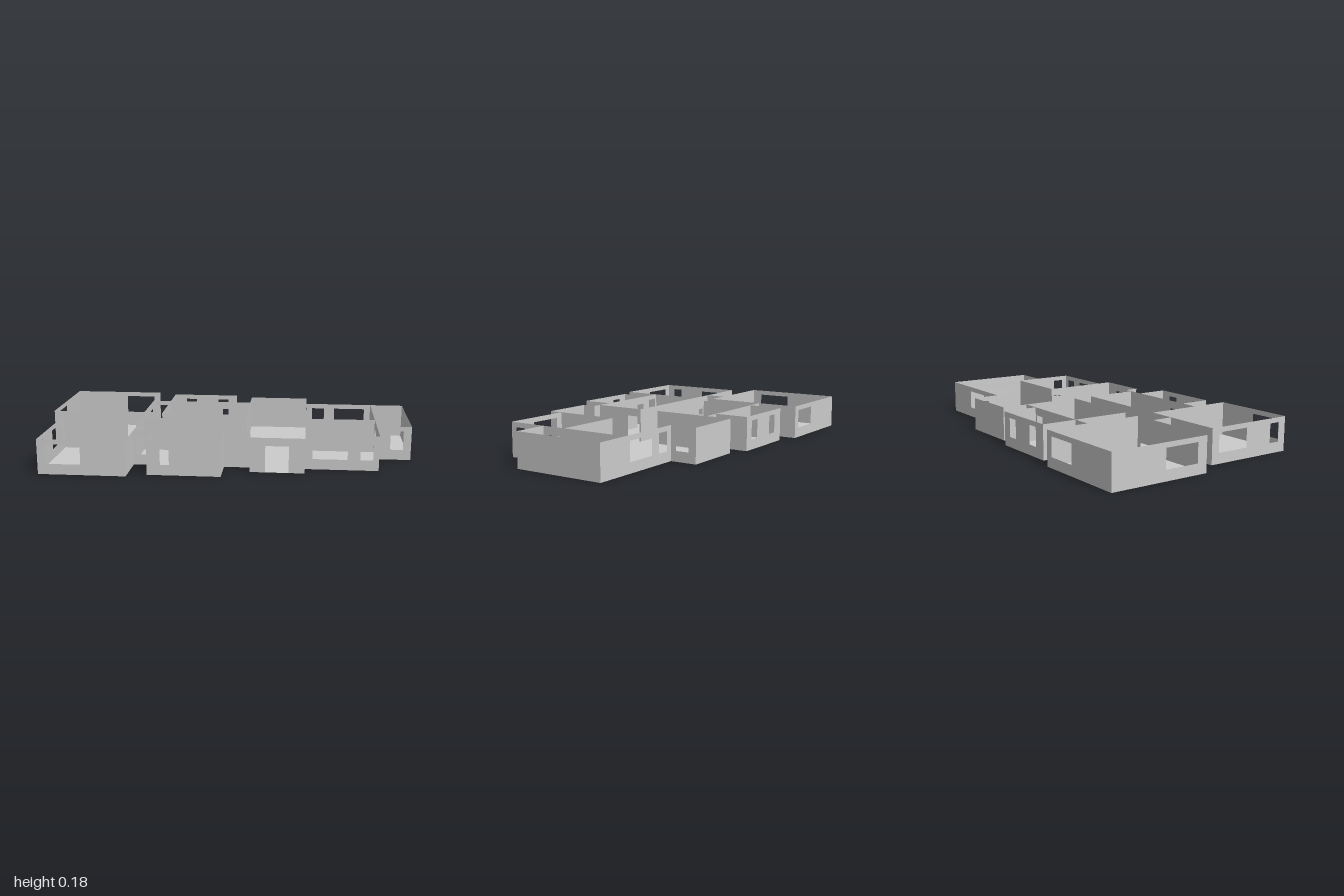
import * as THREE from 'three';

const H = 0.183;
const WIN = [0.055, 0.157], DOOR = [0, 0.14];
const win = (a, b) => [a, b, ...WIN];
const door = (a, b) => [a, b, ...DOOR];

export function createModel() {
  const house = new THREE.Group();
  house.name = 'floorPlan';
  const mat = new THREE.MeshStandardMaterial({ color: 0xcccccc, side: THREE.DoubleSide, flatShading: true });

  // Thin wall from a to b along one axis; windows become holes, doors become notches in the foot
  function panel(a, b, openings) {
    const s = new THREE.Shape();
    s.moveTo(a, 0);
    for (const [p, q, lo, hi] of openings) {
      if (lo === 0) {
        s.lineTo(p, 0); s.lineTo(p, hi); s.lineTo(q, hi); s.lineTo(q, 0);
      } else {
        const h = new THREE.Path();
        h.moveTo(p, lo); h.lineTo(p, hi); h.lineTo(q, hi); h.lineTo(q, lo); h.closePath();
        s.holes.push(h);
      }
    }
    s.lineTo(b, 0); s.lineTo(b, H); s.lineTo(a, H); s.closePath();
    return new THREE.ShapeGeometry(s);
  }
  function add(name, geo) {
    const m = new THREE.Mesh(geo, mat);
    m.name = name;
    house.add(m);
  }
  // Wall parallel to x, at depth z
  const wallX = (name, z, x0, x1, ...o) => add(name, panel(x0, x1, o).translate(0, 0, z));
  // Wall parallel to z, at position x
  const wallZ = (name, x, z0, z1, ...o) =>
    add(name, panel(-z1, -z0, o.map(([p, q, l, h]) => [-q, -p, l, h])).rotateY(Math.PI / 2).translate(x, 0, 0));

  // Floor slab outline (x, z)
  const outline = [
    [-1, -0.583], [-0.48, -0.583], [-0.48, -0.35], [-0.375, -0.35], [-0.375, -0.54], [0.01, -0.54],
    [0.01, -0.35], [0.105, -0.35], [0.105, -0.495], [0.44, -0.495], [0.44, -0.35], [1, -0.35],
    [1, 0.155], [0.815, 0.155], [0.815, 0.37], [0.437, 0.37], [0.437, 0.447], [0.155, 0.447],
    [0.155, 0.37], [0.017, 0.37], [0.017, 0.543], [-0.36, 0.543], [-0.36, 0.37], [-0.46, 0.37],
    [-0.46, 0.58], [-0.912, 0.58], [-0.912, 0.08], [-0.605, 0.08], [-0.605, -0.035], [-1, -0.035],
  ].map(([x, z]) => new THREE.Vector2(x, -z));
  add('floor', new THREE.ShapeGeometry(new THREE.Shape(outline)).rotateX(-Math.PI / 2));

  // Back bedroom
  wallX('backBedroomBackWall', -0.583, -1, -0.48, win(-0.69, -0.52));
  wallX('backBedroomFrontWall', -0.035, -1, -0.48, door(-0.575, -0.505));
  wallZ('backBedroomOuterWall', -1, -0.583, -0.035, win(-0.28, -0.09));
  wallZ('backBedroomInnerWall', -0.48, -0.583, -0.035, door(-0.32, -0.25));

  // Dressing passage and back middle room
  wallX('passageBackWall', -0.35, -0.48, -0.375, win(-0.465, -0.395));
  wallZ('backMiddleLeftWall', -0.375, -0.35, -0.035);
  wallX('backMiddleFrontWall', -0.035, -0.375, 0.105, door(-0.36, -0.29));
  wallX('backMiddleBackWall', -0.35, -0.375, 0.105, door(-0.06, 0));

  // Back bathroom
  wallX('backBathroomBackWall', -0.54, -0.375, 0.01, win(-0.305, -0.243), win(-0.105, -0.043));
  for (const x of [-0.375, 0.01]) wallZ('backBathroomSideWall', x, -0.54, -0.35);

  // Living room
  wallZ('livingRoomInnerWall', 0.105, -0.495, -0.035);
  wallX('livingRoomBackWall', -0.495, 0.105, 0.44);
  wallZ('livingRoomSideWall', 0.44, -0.495, -0.35, win(-0.453, -0.378));
  wallX('kitchenBackWall', -0.35, 0.44, 0.815, win(0.475, 0.545), win(0.605, 0.78));

  // Side room
  wallX('sideRoomBackWall', -0.35, 0.815, 1);
  wallZ('sideRoomOuterWall', 1, -0.35, 0.155);
  wallX('sideRoomFrontWall', 0.155, 0.815, 1, win(0.89, 0.958));
  wallZ('sideRoomInnerWall', 0.815, -0.35, 0.37, door(0.045, 0.115), win(0.275, 0.337));

  // Front corner room
  wallX('cornerRoomBackWall', 0.02, 0.437, 0.815);
  wallX('cornerRoomFrontWall', 0.37, 0.437, 0.815, win(0.475, 0.655), win(0.72, 0.785));
  wallZ('cornerRoomInnerWall', 0.437, 0.02, 0.447, door(0.03, 0.1));

  // Entrance
  wallX('entranceWall', 0.447, 0.155, 0.437, door(0.235, 0.355));
  wallZ('entranceSideWall', 0.155, 0.37, 0.447);

  // Front middle room
  wallX('frontMiddleFrontWall', 0.37, -0.46, 0.155, win(-0.447, -0.38), door(-0.322, -0.26));
  wallX('frontMiddleBackWall', 0.08, -0.46, 0.105);
  wallZ('frontMiddleSideWall', 0.105, 0.08, 0.37, door(0.09, 0.17));

  // Front bathroom
  wallX('frontBathroomFrontWall', 0.543, -0.36, 0.017, win(-0.307, -0.245), win(-0.105, -0.043));
  for (const x of [-0.36, 0.017]) wallZ('frontBathroomSideWall', x, 0.37, 0.543);

  // Front bedroom
  wallX('frontBedroomBackWall', 0.08, -0.912, -0.46, door(-0.575, -0.505));
  wallX('frontBedroomFrontWall', 0.58, -0.912, -0.46, win(-0.87, -0.69));
  wallZ('frontBedroomOuterWall', -0.912, 0.08, 0.58, win(0.125, 0.31), win(0.475, 0.535));
  wallZ('frontBedroomInnerWall', -0.46, 0.08, 0.58);

  // Corridor end
  wallZ('corridorEndWall', -0.605, -0.035, 0.08);

  return house;
}
